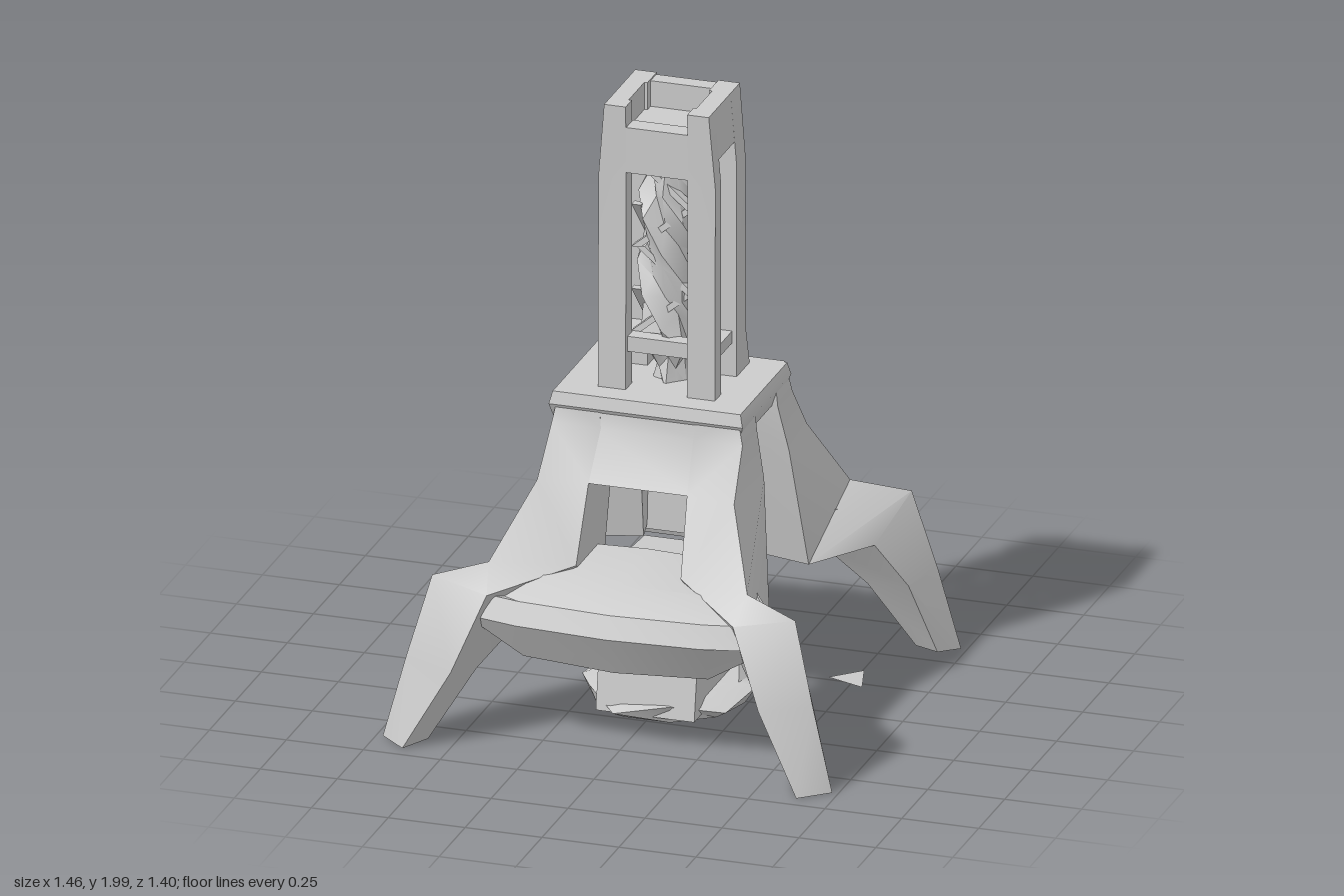
import * as THREE from 'three';
import { toCreasedNormals } from 'three/addons/utils/BufferGeometryUtils.js';

const grey = new THREE.MeshStandardMaterial({ color: 0xcccccc, side: THREE.DoubleSide });

// Skin a list of equal-sized rings of [x, y, z], capped at both ends.
function loft(rings) {
  const n = rings[0].length;
  const tris = [];
  for (let i = 0; i < rings.length - 1; i++) {
    for (let j = 0; j < n; j++) {
      const k = (j + 1) % n;
      const [a, b, c, d] = [rings[i][j], rings[i][k], rings[i + 1][k], rings[i + 1][j]];
      tris.push([a, b, c], [a, c, d]);
    }
  }
  const last = rings[rings.length - 1];
  for (let j = 1; j < n - 1; j++) {
    tris.push([rings[0][0], rings[0][j + 1], rings[0][j]], [last[0], last[j], last[j + 1]]);
  }
  // Signed volume tells whether the faces point outwards
  const v = (p) => new THREE.Vector3(...p);
  const volume = tris.reduce((s, [a, b, c]) => s + v(a).dot(v(b).cross(v(c))), 0);
  if (volume < 0) tris.forEach((t) => t.reverse());
  const geo = new THREE.BufferGeometry();
  geo.setAttribute('position', new THREE.Float32BufferAttribute(tris.flat(2), 3));
  return toCreasedNormals(geo, 0.6);
}

const rect = (x0, x1, z0, z1, y) => [[x0, y, z0], [x1, y, z0], [x1, y, z1], [x0, y, z1]];
const mirror = (rings, sx, sz) => rings.map((r) => r.map(([x, y, z]) => [x * sx, y, z * sz]));

export function createModel() {
  const model = new THREE.Group();
  const add = (name, geo, parent = model) => {
    const mesh = new THREE.Mesh(geo, grey);
    mesh.name = name;
    parent.add(mesh);
  };
  const box = (name, x0, x1, y0, y1, z0, z1, parent) =>
    add(name, loft([rect(x0, x1, z0, z1, y0), rect(x0, x1, z0, z1, y1)]), parent);

  for (const sz of [1, -1]) {
    const end = sz > 0 ? 'front' : 'back';

    // Bent legs: upper strut, knee, splayed lower leg; the front struts run straighter
    const hip = sz > 0 ? 0.52 : 0.47;
    const leg = [
      [[0.16, 1.05, 0.1], [0.3, 1.05, 0.1], [0.29, 1.05, 0.23], [0.16, 1.05, 0.23]],
      [[0.15, 0.95, 0.11], [0.31, 0.95, 0.1], [0.31, 0.95, 0.24], [0.15, 0.95, 0.24]],
      [[0.15, 0.8, 0.13], [0.34, 0.8, 0.12], [0.32, 0.8, 0.35], [0.16, 0.8, 0.33]],
      [[0.16, 0.42, 0.2], [0.38, 0.4, 0.19], [0.42, 0.58, hip], [0.17, 0.56, 0.42]],
      [[0.34, 0.37, 0.43], [0.53, 0.41, 0.38], [0.59, 0.53, 0.56], [0.4, 0.5, 0.6]],
      [[0.46, 0.22, 0.52], [0.61, 0.25, 0.47], [0.66, 0.27, 0.6], [0.5, 0.25, 0.65]],
      [[0.59, 0, 0.6], [0.67, 0, 0.57], [0.73, 0, 0.62], [0.64, 0, 0.7]],
    ];
    for (const sx of [1, -1]) {
      add(end + (sx > 0 ? 'LeftLeg' : 'RightLeg'), loft(mirror(leg, sx, sz)));
    }

    // Broad lower gallery reaching from the inner edge to a bowed outer rim
    const gallery = [[-0.48, 0.58, 0.39, 0.49], [-0.3, 0.62, 0.29, 0.56], [0, 0.64, 0.28, 0.57], [0.3, 0.62, 0.29, 0.56], [0.48, 0.58, 0.39, 0.49]]
      .map(([x, z, low, top]) => {
        const inner = Math.abs(x) > 0.4 ? 0.46 : 0.24;
        return [
          [x, top, inner], [x, top - 0.02, Math.max(z - 0.14, inner)], [x, Math.min(top, 0.49), z - 0.03], [x, 0.42, z],
          [x, low, z - 0.08], [x, Math.max(low, 0.38), z - 0.12], [x, 0.43, inner],
        ];
      });
    add(end + 'Gallery', loft(mirror(gallery, 1, sz)));

    // Sloping beam under the platform edge
    const beam = [-0.18, 0.18].map((x) =>
      [[x, 1.04, 0.12], [x, 1.03, 0.23], [x, 0.95, 0.24], [x, 0.8, 0.33], [x, 0.79, 0.25], [x, 0.95, 0.13]]);
    add(end + 'Beam', loft(mirror(beam, 1, sz)));
  }

  // Middle platform with a slightly bevelled rim
  add('platform', loft([
    rect(-0.31, 0.29, -0.21, 0.21, 0.95),
    rect(-0.32, 0.31, -0.23, 0.24, 1.01),
    rect(-0.31, 0.3, -0.22, 0.23, 1.05),
  ]));

  // Upper tower: four posts flaring at the foot
  const tower = new THREE.Group();
  tower.name = 'upperTower';
  model.add(tower);
  for (const sx of [1, -1]) {
    for (const sz of [1, -1]) {
      const inner = sz > 0 ? 0.09 : 0.06;
      const post = [[1.03, 0.19, sz > 0 ? 0.15 : 0.19], [1.17, 0.19, 0.15], [1.75, 0.19, 0.145], [1.99, 0.17, 0.15]]
        .map(([y, x, z]) => rect(0.1, x, inner, z, y));
      add('post', loft(mirror(post, sx, sz)), tower);
    }
    // Side rails, the upper one leaning in like the posts
    const rail = [[1.83, 0.183], [1.99, 0.17]].map(([y, x]) => rect(0.11, x, -0.14, 0.14, y));
    add('topSideRail', loft(mirror(rail, sx, 1)), tower);
    const [a, b] = sx > 0 ? [0.09, 0.175] : [-0.175, -0.09];
    box('lowerSideRail', a, b, 1.16, 1.2, -0.1, 0.1, tower);
  }
  // The front top rail is lower than the back one
  box('topFrontRail', -0.12, 0.12, 1.77, 1.92, 0.08, 0.145, tower);
  box('topBackRail', -0.12, 0.12, 1.8, 1.985, -0.145, -0.09, tower);
  box('roofFloor', -0.12, 0.12, 1.84, 1.9, -0.1, 0.1, tower);
  box('frontSill', -0.12, 0.12, 1.17, 1.22, 0.08, 0.13, tower);
  box('backSill', -0.12, 0.12, 1.17, 1.22, -0.13, -0.07, tower);

  // Crumpled core filling most of the tower openings, thin at foot and top
  const core = [[1.04, 0.6], [1.11, 0.45], [1.18, 1], [1.26, 0.95], [1.34, 1], [1.42, 0.95], [1.5, 1], [1.58, 1], [1.67, 0.9], [1.75, 0.7], [1.83, 0.35]]
    .map(([y, size], i) => Array.from({ length: 10 }, (_, j) => {
      const t = (j / 10) * Math.PI * 2 + 0.3;
      const r = size * (0.78 + 0.22 * Math.sin(i * 2.3 + j * 3.7));
      return [Math.cos(t) * r * 0.115, y + 0.02 * Math.sin(i * 1.7 + j * 2.9), Math.sin(t) * r * 0.115];
    }));
  add('core', loft(core), tower);

  // Thin diagonal braces beside the core
  for (let i = 0; i < 4; i++) {
    const y = 1.22 + i * 0.14;
    const s = i % 2 ? 1 : -1;
    add('frontBrace', loft([
      rect(s * 0.09 - 0.015, s * 0.09 + 0.015, 0.05, 0.08, y),
      rect(-s * 0.08 - 0.015, -s * 0.08 + 0.015, 0.04, 0.07, y + 0.14),
    ]), tower);
    add('sideBrace', loft([
      rect(s * 0.09 - 0.015, s * 0.09 + 0.015, -0.08, -0.05, y),
      rect(s * 0.09 - 0.015, s * 0.09 + 0.015, 0.05, 0.08, y + 0.14),
    ]), tower);
  }

  // Block projecting from the back of the tower
  add('backBlock', loft([[-0.13, 1.56, 1.68], [-0.27, 1.565, 1.77], [-0.325, 1.575, 1.725]].map(([z, lo, hi]) =>
    [[-0.1, lo, z], [0.1, lo, z], [0.1, hi, z], [-0.1, hi, z]])), tower);

  // Central pedestal with a slightly tilted top
  add('pedestal', loft([
    rect(-0.16, 0.16, -0.225, 0.26, 0.02),
    [[-0.16, 0.42, -0.21], [0.16, 0.42, -0.21], [0.16, 0.45, 0.19], [-0.16, 0.45, 0.19]],
  ]));

  // Irregular base disc with a ragged rim
  const disc = [[0, 0.24], [0.045, 0.28], [0.065, 0.22]].map(([y, r], i) =>
    Array.from({ length: 10 }, (_, j) => {
      const t = (j / 10) * Math.PI * 2;
      const q = r + (i === 1 ? 0.02 * Math.sin(j * 2.6) : 0);
      return [Math.cos(t) * q, y + (i === 1 ? 0.015 * Math.cos(j * 3.1) : 0), Math.sin(t) * q + 0.01];
    }));
  add('baseDisc', loft(disc));

  // Loose flake on the ground beside the base
  const flake = new THREE.BufferGeometry();
  flake.setAttribute('position', new THREE.Float32BufferAttribute(
    [0.44, 0.03, -0.2, 0.55, 0.01, -0.2, 0.52, 0.02, -0.31], 3));
  flake.computeVertexNormals();
  add('groundFlake', flake);

  return model;
}
